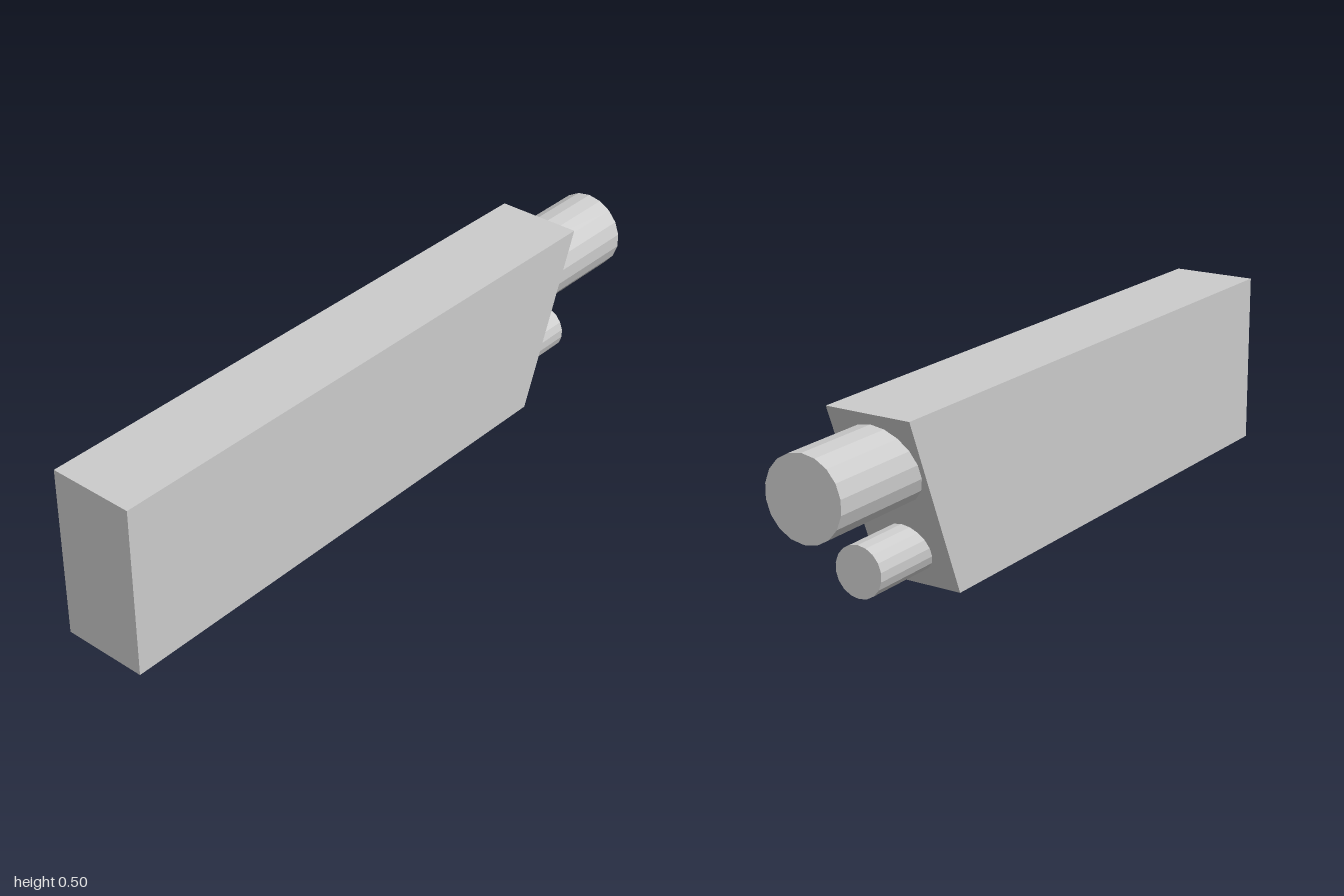
import * as THREE from 'three';

const material = new THREE.MeshStandardMaterial({ color: 0xcccccc, flatShading: true });

function addPart(group, name, geometry) {
  const mesh = new THREE.Mesh(geometry, material);
  mesh.name = name;
  group.add(mesh);
  return mesh;
}

// Cylinder lying along z, with a corner edge at its top
function addTube(group, name, radius, y, zFront, zBack) {
  const geometry = new THREE.CylinderGeometry(radius, radius, zFront - zBack, 18);
  geometry.rotateX(-Math.PI / 2);
  addPart(group, name, geometry).position.set(0, y, (zFront + zBack) / 2);
}

export function createModel() {
  const group = new THREE.Group();

  // Long block with a slanted back, drawn as a side profile (-z, y)
  const width = 0.25;
  const profile = new THREE.Shape([
    new THREE.Vector2(-1, 0),
    new THREE.Vector2(0.55, 0),
    new THREE.Vector2(0.75, 0.5),
    new THREE.Vector2(-1, 0.5),
  ]);
  const body = new THREE.ExtrudeGeometry(profile, { depth: width, bevelEnabled: false });
  body.rotateY(Math.PI / 2);
  body.translate(-width / 2, 0, 0);
  addPart(group, 'body', body);

  // Two cylinders standing out of the slanted back
  addTube(group, 'upperCylinder', 0.113, 0.357, -0.6, -1);
  addTube(group, 'lowerCylinder', 0.07, 0.111, -0.52, -0.8);

  return group;
}
